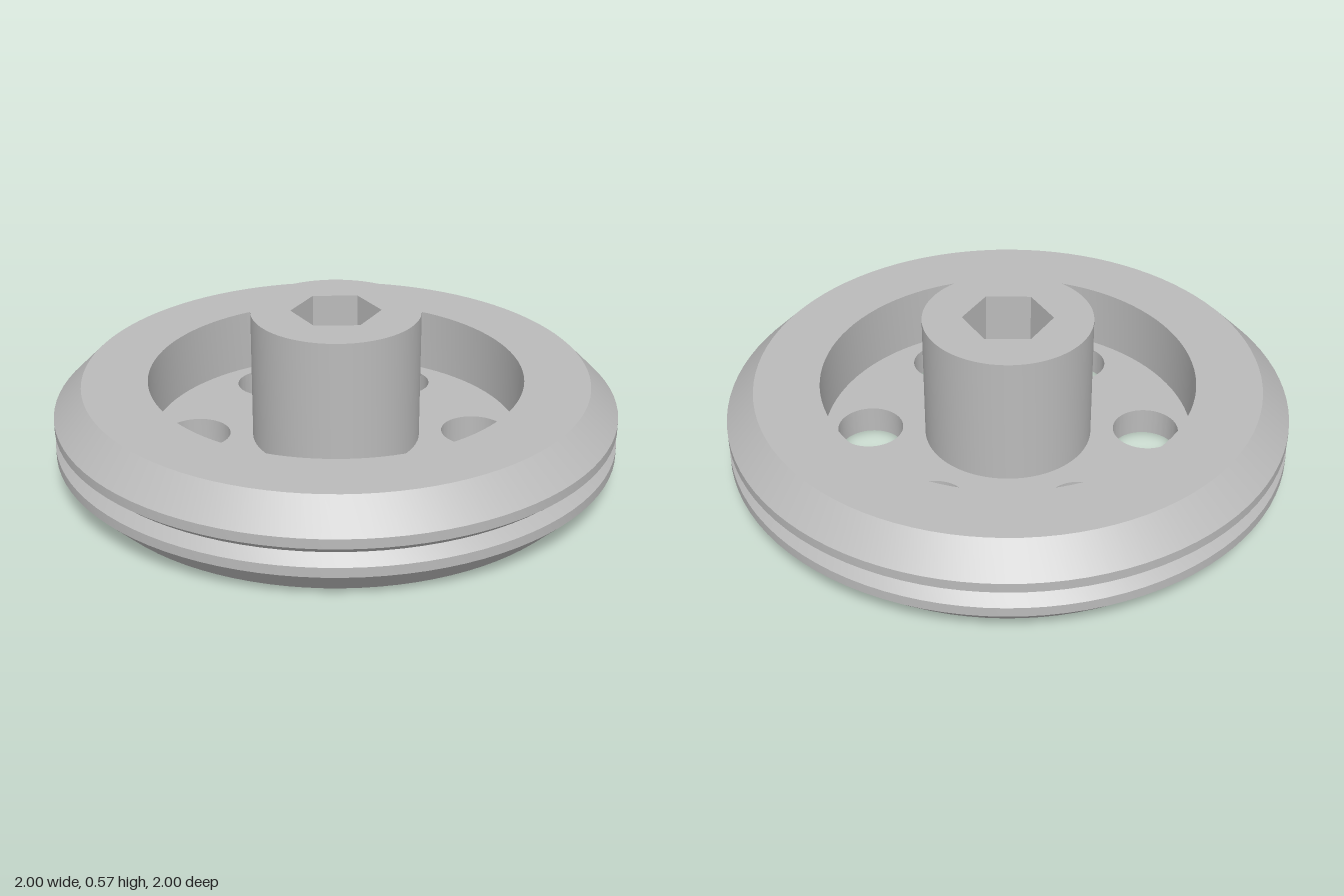
import * as THREE from 'three';
import { toCreasedNormals } from 'three/addons/utils/BufferGeometryUtils.js';

const grey = new THREE.MeshStandardMaterial({ color: 0xbababa });
grey.name = 'plain grey';

// Hexagon with two corners on the z axis
const hexPoints = (r) => Array.from({ length: 6 }, (_, i) => {
  const a = Math.PI / 2 + i * Math.PI / 3;
  return new THREE.Vector2(r * Math.cos(a), r * Math.sin(a));
});
const hexHole = (r) => new THREE.Path(hexPoints(r));
const disc = (r) => new THREE.Shape().absarc(0, 0, r, 0, Math.PI * 2, false);

function addMesh(group, name, geometry) {
  const mesh = new THREE.Mesh(toCreasedNormals(geometry, 0.5), grey);
  mesh.name = name;
  group.add(mesh);
}

// Upright extrusion of a flat shape from y0 to y1
function slab(shape, y0, y1) {
  const g = new THREE.ExtrudeGeometry(shape, { depth: y1 - y0, bevelEnabled: false, curveSegments: 48 });
  return g.rotateX(-Math.PI / 2).translate(0, y0, 0);
}

export function createModel() {
  const wheel = new THREE.Group();
  wheel.name = 'wheel';

  const rimInner = 0.667, floorTop = 0.1, rimTop = 0.335;

  // Chamfered rim with a V groove around its edge
  const profile = [
    [rimInner, 0], [0.9, 0], [1, 0.1], [1, 0.135], [0.965, 0.17], [1, 0.2],
    [1, 0.235], [0.9, rimTop], [rimInner, rimTop], [rimInner, floorTop],
  ].map(([r, y]) => new THREE.Vector2(r, y));
  addMesh(wheel, 'rim', new THREE.LatheGeometry(profile, 96));

  // Web with six round holes and a hexagonal opening
  const web = disc(rimInner);
  web.holes.push(hexHole(0.225));
  for (let i = 0; i < 6; i++) {
    const a = Math.PI / 2 + i * Math.PI / 3;
    web.holes.push(new THREE.Path().absarc(0.5 * Math.cos(a), 0.5 * Math.sin(a), 0.118, 0, Math.PI * 2, true));
  }
  addMesh(wheel, 'web', slab(web, 0, floorTop));

  // Hub with hexagonal bore
  const hub = disc(0.3);
  hub.holes.push(hexHole(0.16));
  addMesh(wheel, 'hub', slab(hub, floorTop, 0.575));

  // Hexagonal sleeve inside the underside opening, leaving a narrow groove
  const sleeve = new THREE.Shape(hexPoints(0.19));
  sleeve.holes.push(hexHole(0.152));
  addMesh(wheel, 'sleeve', slab(sleeve, 0, floorTop));

  return wheel;
}
